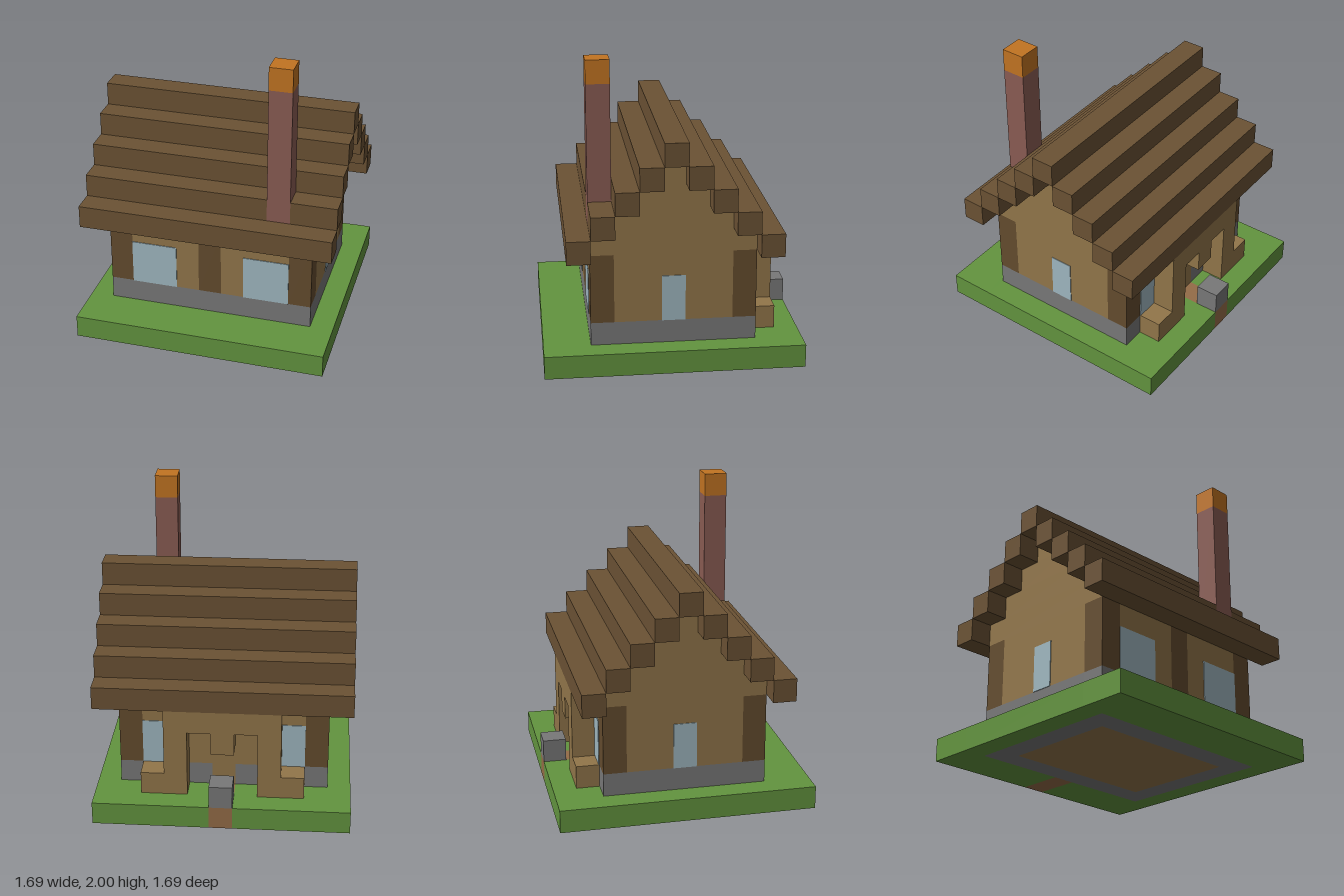
import * as THREE from 'three';

const U = 2 / 13; // one building block

const material = (name, color) => {
  const m = new THREE.MeshStandardMaterial({ color });
  m.name = name;
  return m;
};

export function createModel() {
  const model = new THREE.Group();
  model.name = 'cottage';

  const grass = material('grass green', 0x63943f);
  const stone = material('stone grey', 0x787878);
  const dirt = material('dirt brown', 0x946c47);
  const plank = material('plank tan', 0x92764a);
  const timber = material('timber brown', 0x644c2e);
  const shingle = material('shingle brown', 0x6b5234);
  const glass = material('window blue', 0x9fb7c0);
  const brick = material('chimney brick', 0x8a5c53);
  const ember = material('ember orange', 0xc27422);

  // Box between two corners, measured in blocks
  const box = (name, mat, [x0, x1], [y0, y1], [z0, z1]) => {
    const geometry = new THREE.BoxGeometry((x1 - x0) * U, (y1 - y0) * U, (z1 - z0) * U);
    const mesh = new THREE.Mesh(geometry, mat);
    mesh.position.set((x0 + x1) / 2 * U, (y0 + y1) / 2 * U, (z0 + z1) / 2 * U);
    mesh.name = name;
    model.add(mesh);
  };
  // Signed span: mirrors a range across zero
  const span = (s, a, b) => (s > 0 ? [a, b] : [-b, -a]);
  const sides = [-1, 1];

  // Lawn around the footing, with a dirt path at the back
  box('lawnFront', grass, [-5.5, 5.5], [0, 1], [3.5, 5.5]);
  for (const s of sides) {
    box('lawnSide', grass, span(s, 4.5, 5.5), [0, 1], [-3.5, 3.5]);
    box('lawnBack', grass, span(s, 0.5, 5.5), [0, 1], [-5.5, -3.5]);
  }
  box('path', dirt, [-0.5, 0.5], [0, 1], [-5.5, -3.5]);
  box('doorStep', stone, [-0.5, 0.5], [1, 2], [-5.5, -4.5]);

  // Stone footing ring, floor and door
  box('footingFront', stone, [-4.5, 4.5], [0, 2], [2.5, 3.5]);
  box('footingBack', stone, [-4.5, 4.5], [0, 1], [-3.5, -2.5]);
  box('floor', plank, [-3.5, 3.5], [0, 1], [-2.5, 2.5]);
  box('door', plank, [-0.5, 0.5], [1, 2], [-3.5, -2.5]);

  for (const s of sides) {
    box('footingSide', stone, span(s, 3.5, 4.5), [0, 2], [-2.5, 2.5]);
    box('footingBackUpper', stone, span(s, 0.5, 4.5), [1, 2], [-3.5, -2.5]);

    // Side walls, stepped gables and side windows
    box('sideWall', plank, span(s, 3.5, 4.5), [2, 5], [-2.5, 2.5]);
    for (let i = 0; i < 4; i++) {
      box('gable', plank, span(s, 3.5, 4.5), [5 + i, 6 + i], [i - 3.5, 3.5 - i]);
    }
    box('sideWindow', glass, span(s, 4.48, 4.53), [2, 4], [-0.5, 0.5]);

    // Front walls, corner posts, front and back windows
    box('frontWall', plank, span(s, 0.5, 3.5), [2, 5], [2.5, 3.5]);
    for (const t of sides) {
      box('cornerPost', timber, span(s, 3.5, 4.5), [2, 5], span(t, 2.5, 3.5));
      box('window', glass, span(s, 1.5, 3.5), [2, 4], span(t, 3.48, 3.53));
    }

    // Porch columns and low end blocks
    box('porchColumn', plank, span(s, 1.5, 2.5), [1, 5], [-4.5, -3.5]);
    box('porchBlock', plank, span(s, 2.5, 3.5), [1, 2], [-4.5, -3.5]);
  }
  box('frontPost', timber, [-0.5, 0.5], [2, 5], [2.5, 3.5]);
  box('backWall', plank, [-3.5, 3.5], [2, 5], [-3.5, -2.5]);
  box('porchBeam', plank, [-1.5, 1.5], [4, 5], [-4.5, -3.5]);
  box('porchPendant', plank, [-0.5, 0.5], [3, 4], [-4.5, -3.5]);

  // Stepped roof; one front row is parted by the chimney
  for (let i = 0; i < 4; i++) {
    for (const s of sides) {
      const pieces = i === 1 && s > 0 ? [[-5.5, 2.5], [3.5, 5.5]] : [[-5.5, 5.5]];
      for (const x of pieces) box('roofRow', shingle, x, [5 + i, 6 + i], span(s, 3.5 - i, 4.5 - i));
    }
  }
  box('roofRidge', shingle, [-5.5, 5.5], [9, 10], [-0.5, 0.5]);

  // Chimney
  box('chimney', brick, [2.5, 3.5], [6, 12], [2.5, 3.5]);
  box('chimneyCap', ember, [2.5, 3.5], [12, 13], [2.5, 3.5]);

  return model;
}
